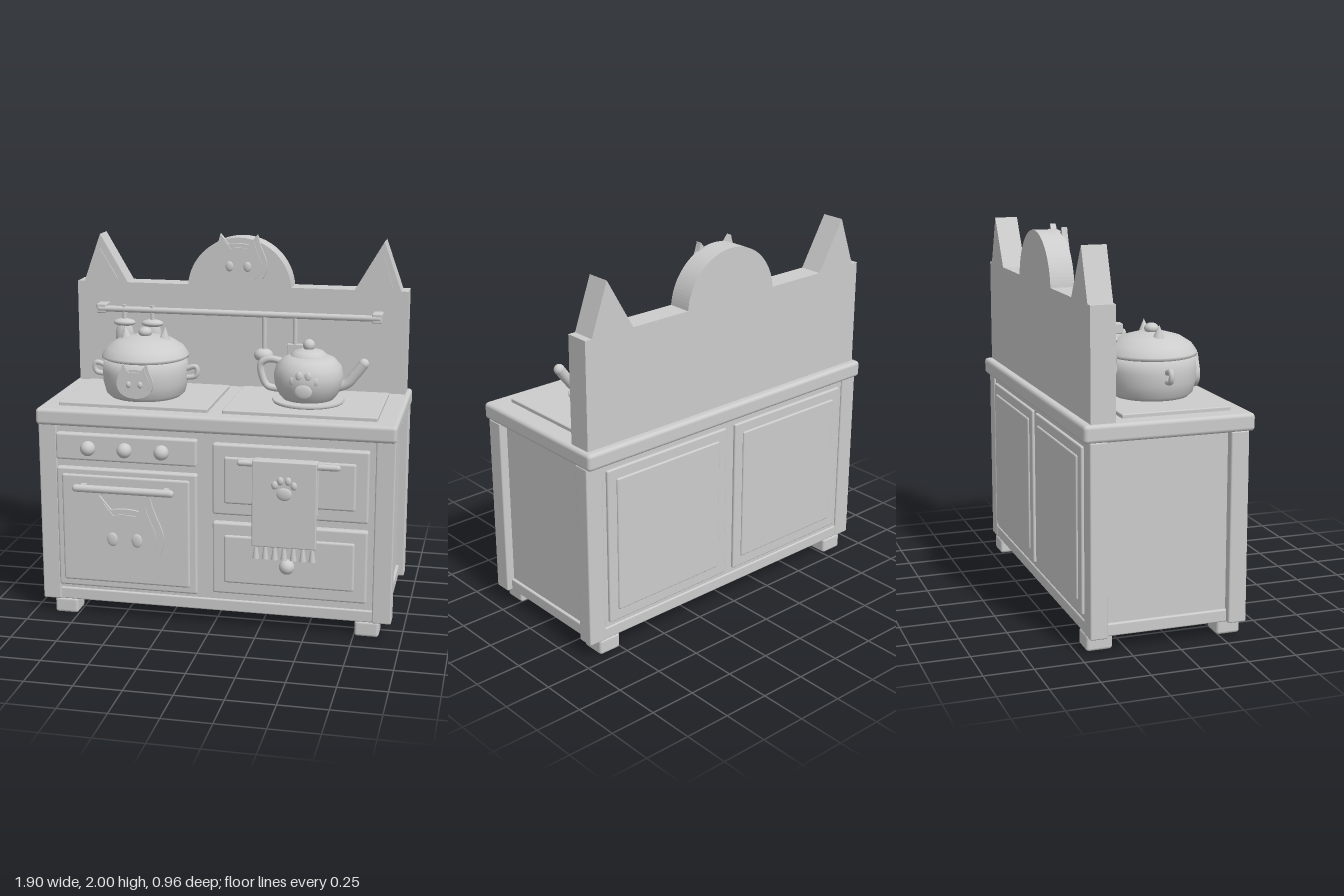
import * as THREE from 'three';
import { RoundedBoxGeometry } from 'three/addons/geometries/RoundedBoxGeometry.js';

const grey = new THREE.MeshStandardMaterial({ color: 0xcccccc });
grey.name = 'light grey';

function add(parent, name, geometry, x = 0, y = 0, z = 0) {
  const mesh = new THREE.Mesh(geometry, grey);
  mesh.name = name;
  mesh.position.set(x, y, z);
  parent.add(mesh);
  return mesh;
}

function group(parent, name, x = 0, y = 0, z = 0) {
  const g = new THREE.Group();
  g.name = name;
  g.position.set(x, y, z);
  parent.add(g);
  return g;
}

// Softened box given by its limits
function slab(parent, name, x0, x1, y0, y1, z0, z1, r = 0.008) {
  const g = new RoundedBoxGeometry(x1 - x0, y1 - y0, z1 - z0, 2, r);
  return add(parent, name, g, (x0 + x1) / 2, (y0 + y1) / 2, (z0 + z1) / 2);
}

function ball(parent, name, x, y, z, rx, ry = rx, rz = rx) {
  const mesh = add(parent, name, new THREE.SphereGeometry(1, 24, 16), x, y, z);
  mesh.scale.set(rx, ry, rz);
  return mesh;
}

function rod(parent, name, x0, x1, y, z, r) {
  const g = new THREE.CapsuleGeometry(r, x1 - x0 - 2 * r, 6, 16).rotateZ(Math.PI / 2);
  return add(parent, name, g, (x0 + x1) / 2, y, z);
}

function tube(parent, name, points, r) {
  const curve = new THREE.CatmullRomCurve3(points.map(p => new THREE.Vector3(...p)));
  return add(parent, name, new THREE.TubeGeometry(curve, 32, r, 12));
}

function lathe(parent, name, profile, x = 0, y = 0, z = 0) {
  const pts = profile.map(p => new THREE.Vector2(...p));
  return add(parent, name, new THREE.LatheGeometry(pts, 48), x, y, z);
}

function extrude(shape, depth) {
  return new THREE.ExtrudeGeometry(shape, { depth, bevelEnabled: false, curveSegments: 24 });
}

// Cat head outline of half-width s
function catShape(s) {
  const h = new THREE.Shape();
  h.moveTo(0, -0.92 * s);
  h.bezierCurveTo(0.6 * s, -0.92 * s, s, -0.6 * s, s, -0.1 * s);
  h.bezierCurveTo(s, 0.25 * s, 0.78 * s, 0.45 * s, 0.66 * s, 0.98 * s);
  h.lineTo(0.36 * s, 0.62 * s);
  h.quadraticCurveTo(0, 0.7 * s, -0.36 * s, 0.62 * s);
  h.lineTo(-0.66 * s, 0.98 * s);
  h.bezierCurveTo(-0.78 * s, 0.45 * s, -s, 0.25 * s, -s, -0.1 * s);
  h.bezierCurveTo(-s, -0.6 * s, -0.6 * s, -0.92 * s, 0, -0.92 * s);
  return h;
}

function catFace(parent, name, x, y, z, s, depth) {
  const g = group(parent, name, x, y, z);
  add(g, 'catHead', extrude(catShape(s), depth));
  add(g, 'catInnerFace', extrude(catShape(s * 0.82), depth + 0.007), 0, -0.02 * s, 0);
  for (const k of [-1, 1]) ball(g, 'catEye', k * 0.32 * s, -0.14 * s, depth + 0.007, 0.14 * s, 0.18 * s, 0.01);
}

function paw(parent, x, y, z, s, bend = 0) {
  const g = group(parent, 'paw', x, y, z);
  ball(g, 'pawPad', 0, 0, 0, s, s * 0.85, 0.012);
  for (const [tx, ty] of [[-1.25, 1.15], [-0.5, 1.75], [0.5, 1.75], [1.25, 1.15]])
    ball(g, 'pawToe', tx * s, ty * s, -bend * Math.abs(tx), s * 0.42, s * 0.55, 0.012);
}

export function createModel() {
  const model = new THREE.Group();
  model.name = 'toyKitchen';

  // Cabinet
  const cabinet = group(model, 'cabinet');
  slab(cabinet, 'carcass', -0.9, 0.9, 0.08, 1.07, -0.44, 0.35);
  slab(cabinet, 'plinth', -0.915, 0.915, 0.08, 0.145, -0.447, 0.362);
  slab(cabinet, 'countertop', -0.95, 0.95, 1.06, 1.15, -0.48, 0.4, 0.02);
  for (const k of [-1, 1]) {
    for (const [z0, z1, f0, f1] of [[0.275, 0.37, 0.24, 0.365], [-0.45, -0.36, -0.45, -0.315]]) {
      const x = k * 0.895, f = k * 0.818;
      slab(cabinet, 'cornerPost', x - 0.05, x + 0.05, 0.08, 1.065, z0, z1);
      slab(cabinet, 'foot', f - 0.064, f + 0.064, 0, 0.085, f0, f1, 0.015);
    }
    // Rear panels
    const c = k * 0.425;
    slab(cabinet, 'rearFrame', c - 0.395, c + 0.395, 0.17, 1.02, -0.455, -0.43);
    slab(cabinet, 'rearPanel', c - 0.34, c + 0.34, 0.23, 0.965, -0.464, -0.44);
  }

  // Oven side
  const oven = group(model, 'oven');
  slab(oven, 'controlPanel', -0.847, -0.083, 0.875, 1.02, 0.33, 0.385, 0.012);
  for (const x of [-0.665, -0.467, -0.268]) ball(oven, 'knob', x, 0.947, 0.4, 0.04);
  slab(oven, 'ovenDoor', -0.847, -0.083, 0.17, 0.833, 0.33, 0.385, 0.012);
  slab(oven, 'ovenDoorPanel', -0.815, -0.12, 0.207, 0.8, 0.36, 0.397, 0.012);
  rod(oven, 'ovenHandle', -0.74, -0.19, 0.743, 0.45, 0.02);
  for (const x of [-0.69, -0.24]) slab(oven, 'handleMount', x - 0.015, x + 0.015, 0.73, 0.756, 0.38, 0.45, 0.005);
  catFace(oven, 'ovenCat', -0.467, 0.49, 0.39, 0.21, 0.022);

  // Drawers
  const drawers = group(model, 'drawers');
  for (const [y0, y1] of [[0.626, 1.008], [0.19, 0.583]]) {
    slab(drawers, 'drawerFront', 0, 0.815, y0, y1, 0.33, 0.385, 0.012);
    slab(drawers, 'drawerPanel', 0.063, 0.75, y0 + 0.065, y1 - 0.065, 0.36, 0.397, 0.012);
  }
  ball(drawers, 'drawerKnob', 0.406, 0.385, 0.44, 0.04);
  add(drawers, 'knobStem', new THREE.CylinderGeometry(0.018, 0.018, 0.06, 16).rotateX(Math.PI / 2), 0.406, 0.385, 0.41);
  rod(drawers, 'drawerHandle', 0.14, 0.675, 0.928, 0.43, 0.016);
  for (const x of [0.18, 0.635]) slab(drawers, 'handleMount', x - 0.015, x + 0.015, 0.915, 0.941, 0.38, 0.43, 0.005);

  // Towel folded over the handle
  const towel = group(model, 'towel');
  slab(towel, 'towelFront', 0.225, 0.56, 0.495, 0.955, 0.447, 0.469, 0.006);
  slab(towel, 'towelFold', 0.225, 0.56, 0.93, 0.955, 0.405, 0.469, 0.01);
  slab(towel, 'towelBack', 0.225, 0.56, 0.66, 0.955, 0.403, 0.415, 0.005);
  for (let i = 0; i < 7; i++)
    add(towel, 'tassel', new THREE.CylinderGeometry(0.008, 0.018, 0.07, 12), 0.246 + i * 0.049, 0.463, 0.455);
  paw(towel, 0.393, 0.785, 0.468, 0.04);

  // Backboard with ears and arch
  const back = group(model, 'backboard');
  const b = new THREE.Shape();
  b.moveTo(-0.925, 1.14);
  for (const [x, y] of [[0.925, 1.14], [0.925, 1.715], [0.885, 1.715], [0.79, 1.98], [0.635, 1.715], [0.29, 1.715]]) b.lineTo(x, y);
  b.absarc(0, 1.69, 0.29, 0.086, Math.PI - 0.086, false);
  for (const [x, y] of [[-0.635, 1.715], [-0.79, 1.98], [-0.885, 1.715], [-0.925, 1.715]]) b.lineTo(x, y);
  add(back, 'backPanel', extrude(b, 0.127), 0, 0, -0.44);
  for (const k of [-1, 1]) {
    const ear = new THREE.Shape([[0.84, 1.735], [0.69, 1.735], [0.79, 1.9]].map(p => new THREE.Vector2(k * p[0], p[1])));
    add(back, 'innerEar', extrude(ear, 0.01), 0, 0, -0.315);
    slab(back, 'railBracket', k * 0.768 - 0.027, k * 0.768 + 0.027, 1.55, 1.602, -0.32, -0.232, 0.006);
  }
  catFace(back, 'archCat', 0, 1.848, -0.322, 0.155, 0.03);
  rod(back, 'utensilRail', -0.795, 0.795, 1.575, -0.245, 0.017);

  // Hanging utensils
  const utensils = group(model, 'utensils');
  const z = -0.245;
  for (const x of [-0.637, -0.477]) {
    add(utensils, 'hangingCord', new THREE.CylinderGeometry(0.012, 0.012, 0.1, 12), x, 1.55, z);
    ball(utensils, 'shakerCap', x, 1.502, z, 0.062, 0.022, 0.038);
    ball(utensils, 'shakerBody', x, 1.43, z, 0.052, 0.085, 0.035);
    ball(utensils, 'shakerBase', x, 1.35, z, 0.05, 0.045, 0.035);
  }
  for (const x of [0.154, 0.324])
    add(utensils, 'utensilHandle', new THREE.CylinderGeometry(0.013, 0.013, 0.2, 12), x, 1.475, z);
  ball(utensils, 'ladleBowl', 0.15, 1.35, z, 0.053, 0.038, 0.048);
  slab(utensils, 'spatulaBlade', 0.28, 0.368, 1.3, 1.42, z - 0.013, z + 0.013, 0.006);

  // Hob plates
  slab(model, 'leftHob', -0.848, -0.042, 1.14, 1.17, -0.255, 0.31, 0.006);
  slab(model, 'rightHob', 0.036, 0.842, 1.14, 1.17, -0.255, 0.31, 0.006);

  // Cooking pot
  const pot = group(model, 'pot', -0.44, 1.17, 0.045);
  lathe(pot, 'potBody', [[0, 0], [0.19, 0], [0.212, 0.02], [0.228, 0.08], [0.23, 0.14], [0.222, 0.215], [0, 0.215]]);
  lathe(pot, 'potLid', [[0, 0.205], [0.22, 0.205], [0.234, 0.212], [0.232, 0.225], [0.205, 0.265], [0.15, 0.3], [0.08, 0.32], [0, 0.326]]);
  ball(pot, 'lidKnob', 0, 0.34, 0, 0.037, 0.028, 0.037);
  for (const k of [-1, 1]) {
    add(pot, 'lidEar', new THREE.ConeGeometry(0.04, 0.09, 24), k * 0.107, 0.328, 0).rotation.z = -k * 0.1;
    tube(pot, 'potHandle', [[k * 0.21, 0.1, 0], [k * 0.275, 0.113, 0], [k * 0.285, 0.14, 0], [k * 0.275, 0.163, 0], [k * 0.21, 0.145, 0]], 0.014);
  }
  catFace(pot, 'potCat', 0, 0.117, 0.195, 0.098, 0.034);

  // Teapot
  const teapot = group(model, 'teapot', 0.443, 1.17, 0.03);
  lathe(teapot, 'trivet', [[0, 0], [0.185, 0], [0.192, 0.01], [0.185, 0.02], [0, 0.02]]);
  lathe(teapot, 'teapotBody', [[0, 0.01], [0.125, 0.01], [0.155, 0.045], [0.178, 0.095], [0.184, 0.145], [0.172, 0.195], [0.14, 0.232], [0.1, 0.25], [0, 0.255]]);
  lathe(teapot, 'teapotLid', [[0, 0.235], [0.096, 0.24], [0.098, 0.252], [0.075, 0.272], [0.035, 0.283], [0, 0.285]]);
  ball(teapot, 'teapotKnob', 0, 0.303, 0, 0.032);
  tube(teapot, 'spout', [[0.13, 0.08, 0], [0.2, 0.105, 0], [0.245, 0.155, 0], [0.29, 0.215, 0]], 0.028);
  ball(teapot, 'spoutTip', 0.29, 0.215, 0, 0.028);
  tube(teapot, 'teapotHandle', [[-0.14, 0.21, 0], [-0.21, 0.22, 0], [-0.255, 0.195, 0], [-0.25, 0.13, 0], [-0.22, 0.075, 0], [-0.15, 0.06, 0]], 0.019);
  paw(teapot, 0, 0.09, 0.178, 0.046, 0.012);

  return model;
}
